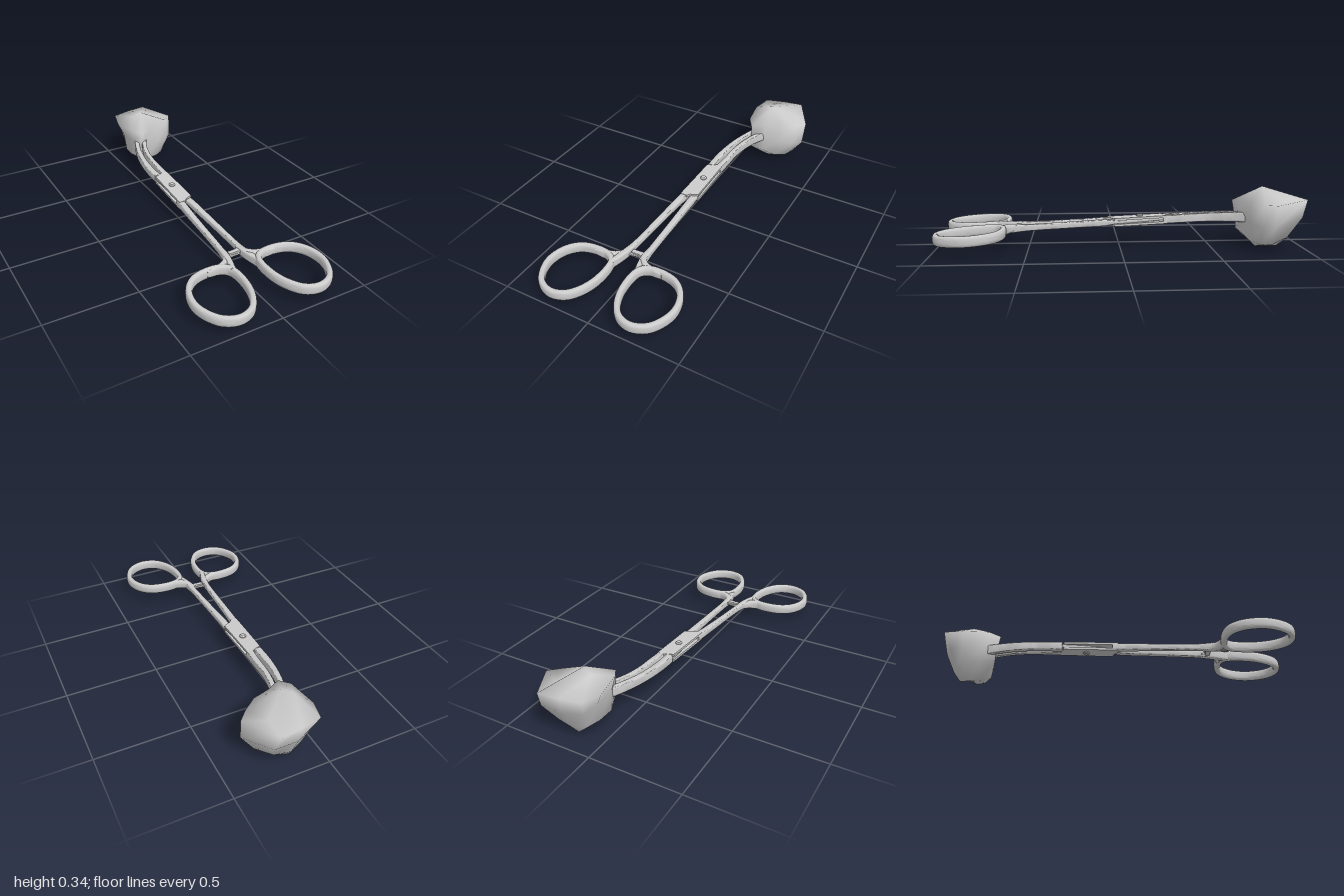
import * as THREE from 'three';
import { toCreasedNormals } from 'three/addons/utils/BufferGeometryUtils.js';

const SLOPE = 0.05; // the instrument rises gently towards its tip
const axisY = (z) => 0.125 - SLOPE * z;
const material = new THREE.MeshStandardMaterial({ color: 0xcccccc, roughness: 0.6 });

function addMesh(parent, name, geometry) {
  const mesh = new THREE.Mesh(geometry, material);
  mesh.name = name;
  parent.add(mesh);
  return mesh;
}

// Indexed geometry with sharp edges kept above the crease angle
function creased(positions, index, angle) {
  const geo = new THREE.BufferGeometry();
  geo.setAttribute('position', new THREE.Float32BufferAttribute(positions, 3));
  geo.setIndex(index);
  return toCreasedNormals(geo, angle);
}

// Sweep a rounded-rectangle section along stations [x, z, width, height]
function sweep(stations, { closed = false, dy = 0, power = 4, steps = 8, sides = 20 } = {}) {
  const path = new THREE.CatmullRomCurve3(
    stations.map(([x, z]) => new THREE.Vector3(x, axisY(z) + dy, z)), closed);
  const size = new THREE.CatmullRomCurve3(
    stations.map(([, , w, h]) => new THREE.Vector3(w, h, 0)), closed);
  const n = (stations.length - (closed ? 0 : 1)) * steps;
  const rings = closed ? n : n + 1;
  const pos = [], index = [];
  for (let i = 0; i < rings; i++) {
    const p = path.getPoint(i / n), s = size.getPoint(i / n), t = path.getTangent(i / n);
    const side = new THREE.Vector3(t.z, 0, -t.x).normalize();
    for (let j = 0; j < sides; j++) {
      const a = ((j + 0.5) / sides) * Math.PI * 2, c = Math.cos(a), d = Math.sin(a);
      const u = Math.sign(c) * Math.abs(c) ** (2 / power) * s.x / 2;
      const v = Math.sign(d) * Math.abs(d) ** (2 / power) * s.y / 2;
      pos.push(p.x + side.x * u, p.y + v, p.z + side.z * u);
    }
  }
  for (let i = 0; i < n; i++) {
    for (let j = 0; j < sides; j++) {
      const k = (j + 1) % sides, m = (i + 1) % rings;
      const a = i * sides + j, b = i * sides + k, c = m * sides + k, d = m * sides + j;
      index.push(a, b, c, a, c, d);
    }
  }
  if (!closed) {
    const last = n * sides;
    for (let j = 1; j < sides - 1; j++) {
      index.push(0, j + 1, j, last, last + j, last + j + 1);
    }
  }
  return creased(pos, index, 0.7);
}

// Finger ring: a rounded D-shaped loop, with the shank flaring into it
function addFingerRing(parent, s, dy) {
  const loop = [[-0.368, 0.825], [-0.345, 0.715], [-0.275, 0.648], [-0.14, 0.634], [-0.083, 0.67],
    [-0.074, 0.8], [-0.107, 0.9], [-0.16, 0.96], [-0.235, 0.978], [-0.315, 0.94]];
  const stations = loop.map(([x, z]) => [x * s, z, 0.034, 0.058]);
  addMesh(parent, 'fingerRing', sweep(stations, { closed: true, dy, power: 2.8 }));
  const fillet = [[-0.046, 0.53, 0.022, 0.028], [-0.056, 0.585, 0.034, 0.044],
    [-0.09, 0.622, 0.036, 0.052], [-0.15, 0.637, 0.028, 0.052], [-0.2, 0.641, 0.02, 0.04]];
  addMesh(parent, 'ringFillet',
    sweep(fillet.map(([x, z, w, h]) => [x * s, z, w, h]), { dy, power: 3 }));
}

// Box lock: two slanted-end plates with a slot between them
function addBoxLock(parent) {
  const outline = [[-0.028, 0.06], [0.012, 0.06], [0.022, 0.045], [0.067, 0.025],
    [0.067, -0.27], [0.03, -0.27], [0.02, -0.26], [-0.02, -0.245]];
  const shape = new THREE.Shape(outline.map(([x, z]) => new THREE.Vector2(x, -z)));
  const lock = new THREE.Group();
  lock.name = 'boxLock';
  lock.position.y = axisY(0);
  lock.rotation.x = SLOPE;
  for (const y of [-0.023, 0.01]) {
    const geo = new THREE.ExtrudeGeometry(shape, { depth: 0.013, bevelEnabled: false });
    geo.rotateX(-Math.PI / 2);
    addMesh(lock, 'lockPlate', geo).position.y = y;
  }
  // Domed rivet through both plates
  const profile = [[0, -0.035], [0.012, -0.033], [0.018, -0.027], [0.018, 0.027],
    [0.012, 0.033], [0, 0.035]].map(([x, y]) => new THREE.Vector2(x, y));
  const rivet = toCreasedNormals(new THREE.LatheGeometry(profile, 24), 0.6);
  addMesh(lock, 'rivet', rivet).position.set(0.022, 0, -0.12);
  parent.add(lock);
}

// Gathered swab: irregular loops from a narrow keel up to a peaked crown
function swabGeometry() {
  const rim = [[0.375, 0.257, -0.81], [0.27, 0.273, -1], [0.155, 0.272, -0.985],
    [0.045, 0.268, -0.96], [0.016, 0.257, -0.85], [0.045, 0.262, -0.69], [0.085, 0.25, -0.63],
    [0.16, 0.258, -0.675], [0.25, 0.252, -0.695], [0.325, 0.254, -0.755]];
  const belly = [[0.368, 0.13, -0.79], [0.285, 0.18, -0.97], [0.16, 0.175, -0.965],
    [0.07, 0.17, -0.92], [0.052, 0.18, -0.84], [0.06, 0.18, -0.71], [0.08, 0.15, -0.65],
    [0.15, 0.15, -0.7], [0.24, 0.14, -0.705], [0.32, 0.13, -0.745]];
  const base = [[0.3, 0.035, -0.8], [0.25, 0.065, -0.9], [0.16, 0.055, -0.91],
    [0.09, 0.06, -0.88], [0.058, 0.075, -0.82], [0.052, 0.08, -0.73], [0.085, 0.09, -0.655],
    [0.15, 0.075, -0.675], [0.22, 0.045, -0.7], [0.28, 0.035, -0.75]];
  const keel = base.map(([, , z]) => [0.155, 0, THREE.MathUtils.clamp(z, -0.87, -0.75)]);
  // The crown has a dip beside one corner, a shoulder on the far side, and the peak
  const dip = [0.265, 0.264, -0.87], shoulder = [0.1, 0.314, -0.8], peak = [0.155, 0.335, -0.78];
  const crown = rim.map((_, i) => (i < 2 ? dip : i > 2 && i < 6 ? shoulder : peak));
  const pts = [keel, base, belly, rim, crown].flat();
  const n = rim.length, index = [];
  // Skip triangles whose corners coincide
  const addFace = (...t) => {
    if (new Set(t.map((i) => pts[i].join())).size === 3) index.push(...t);
  };
  for (let r = 0; r < 4; r++) {
    for (let i = 0; i < n; i++) {
      const a = r * n + i, b = r * n + ((i + 1) % n);
      addFace(a, b, b + n);
      addFace(a, b + n, a + n);
    }
  }
  return creased(pts.flat(), index, Math.PI);
}

export function createModel() {
  const model = new THREE.Group();
  model.name = 'swabForceps';

  // Lever that carries the lock plates
  const outer = new THREE.Group();
  outer.name = 'outerLever';
  addFingerRing(outer, 1, -0.004);
  addMesh(outer, 'outerShank', sweep([[-0.009, 0.03, 0.038, 0.044], [-0.019, 0.15, 0.036, 0.038],
    [-0.03, 0.33, 0.032, 0.034], [-0.041, 0.5, 0.029, 0.036], [-0.052, 0.59, 0.034, 0.046],
    [-0.078, 0.69, 0.028, 0.05]], { power: 5 }));
  addMesh(outer, 'outerJaw', sweep([[0.048, -0.25, 0.037, 0.046], [0.054, -0.35, 0.032, 0.046],
    [0.058, -0.45, 0.028, 0.047], [0.074, -0.55, 0.028, 0.049], [0.104, -0.64, 0.028, 0.053],
    [0.134, -0.7, 0.028, 0.056]], { power: 8 }));
  addBoxLock(outer);
  model.add(outer);

  // Lever that passes through the slot
  const inner = new THREE.Group();
  inner.name = 'innerLever';
  addFingerRing(inner, -1, 0.004);
  addMesh(inner, 'innerShank', sweep([[0.044, 0.03, 0.042, 0.022], [0.045, 0.09, 0.038, 0.036],
    [0.05, 0.33, 0.032, 0.034], [0.053, 0.5, 0.029, 0.036], [0.057, 0.59, 0.034, 0.046],
    [0.078, 0.69, 0.028, 0.05]], { power: 5 }));
  addMesh(inner, 'slotTongue', sweep([[0.044, 0.05, 0.04, 0.019], [0.022, -0.12, 0.055, 0.019],
    [0, -0.29, 0.034, 0.019]], { power: 8 }));
  addMesh(inner, 'innerJaw', sweep([[0, -0.255, 0.038, 0.046], [0, -0.35, 0.036, 0.046],
    [0.008, -0.45, 0.033, 0.047], [0.027, -0.55, 0.031, 0.049], [0.059, -0.65, 0.029, 0.053],
    [0.08, -0.7, 0.028, 0.056]], { power: 8 }));
  model.add(inner);

  // Ratchet: two overlapping catches between the shanks
  for (const [x0, x1, dy] of [[-0.045, 0.04, -0.007], [0.058, -0.025, 0.007]]) {
    const mid = (x0 + x1) / 2;
    addMesh(model, 'ratchetCatch', sweep([[x0, 0.562, 0.05, 0.014], [mid, 0.562, 0.026, 0.013],
      [x1, 0.562, 0.024, 0.012]], { dy, power: 6 }));
  }

  addMesh(model, 'swab', swabGeometry());
  return model;
}
